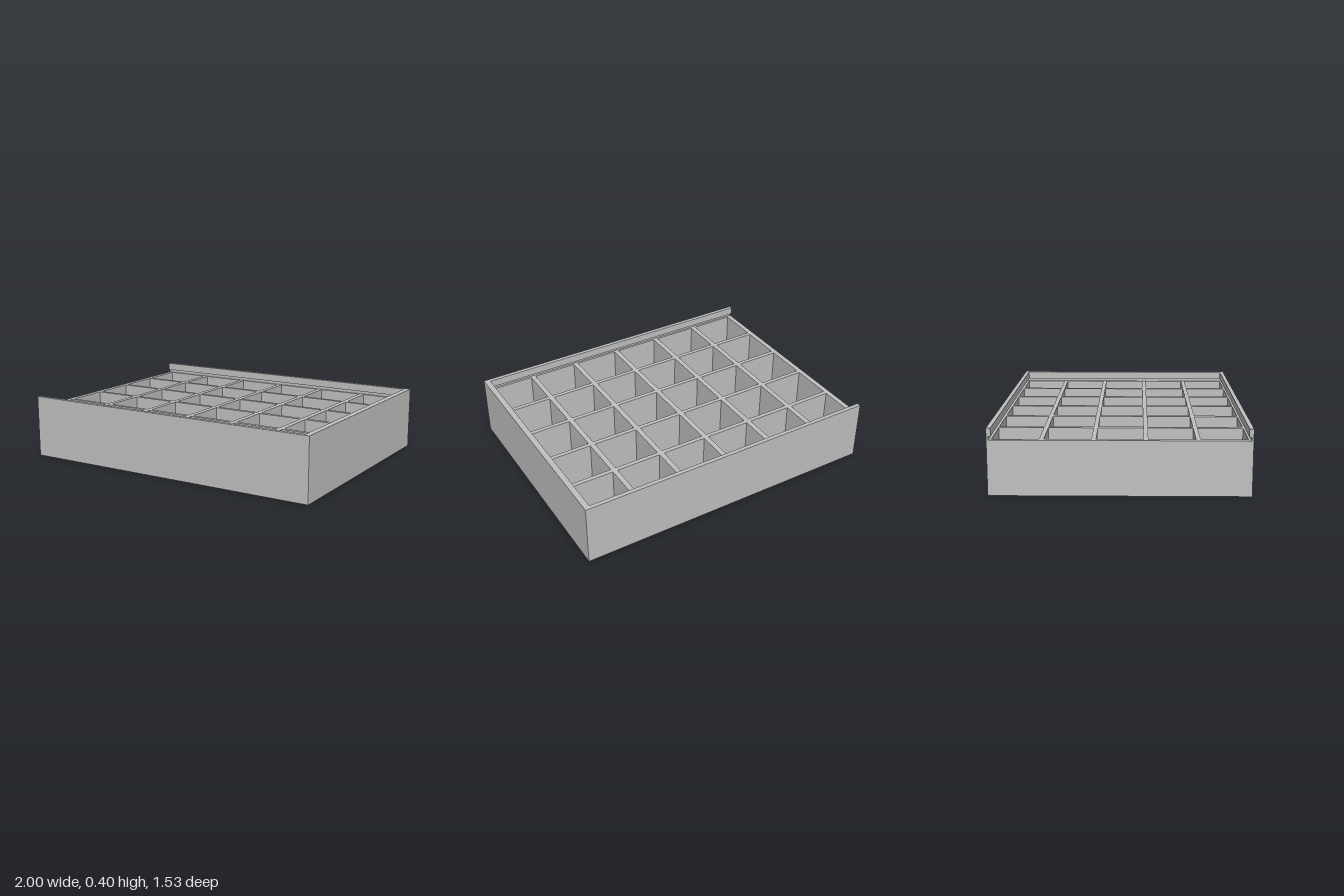
import * as THREE from 'three';

const HALF_X = 1, HALF_Z = 0.763, FLOOR = 0.03, RIM = 0.33, LIP = 0.35, TOP = 0.4;
const COLS = 6, ROWS = 5;
const CELL_X = 0.294, CELL_Z = 0.273, PITCH_X = 0.327, PITCH_Z = 0.3, FIRST_X = -0.82;

// Turns a plan outline into a vertical prism between two heights
function prism(shape, y0, y1) {
  const g = new THREE.ExtrudeGeometry(shape, { depth: y1 - y0, bevelEnabled: false });
  g.rotateX(-Math.PI / 2);
  return g.translate(0, y0, 0);
}

function polygon(points) {
  return new THREE.Shape(points.map(([x, z]) => new THREE.Vector2(x, z)));
}

function rectangle(cx, cz, hx, hz) {
  return [[cx - hx, cz - hz], [cx + hx, cz - hz], [cx + hx, cz + hz], [cx - hx, cz + hz]];
}

// U-shaped wall, open at the end where the lid slides in
function uShape(sideWall, endWall) {
  const x = HALF_X - endWall, z = HALF_Z - sideWall;
  return polygon([
    [-HALF_X, -HALF_Z], [HALF_X, -HALF_Z], [HALF_X, HALF_Z], [-HALF_X, HALF_Z],
    [-HALF_X, z], [x, z], [x, -z], [-HALF_X, -z],
  ]);
}

export function createModel() {
  const model = new THREE.Group();
  model.name = 'compartmentTray';
  const grey = new THREE.MeshStandardMaterial({ color: 0xc0c0c0 });
  grey.name = 'light grey';
  const add = (name, geometry) => {
    const mesh = new THREE.Mesh(geometry, grey);
    mesh.name = name;
    model.add(mesh);
    return mesh;
  };

  // Solid floor
  add('floor', prism(polygon(rectangle(0, 0, HALF_X, HALF_Z)), 0, FLOOR));

  // Outer walls and dividers in one grid with a hole for each compartment
  const grid = polygon(rectangle(0, 0, HALF_X, HALF_Z));
  const pyramid = new THREE.ConeGeometry(1, 0.115, 4, 1, true).toNonIndexed();
  pyramid.scale(CELL_X / 2, 1, CELL_Z / 2);
  pyramid.computeVertexNormals();
  for (let i = 0; i < COLS; i++) {
    for (let j = 0; j < ROWS; j++) {
      const x = FIRST_X + i * PITCH_X, z = (j - (ROWS - 1) / 2) * PITCH_Z;
      grid.holes.push(polygon(rectangle(x, z, CELL_X / 2, CELL_Z / 2)));
      // Four-sided raised point on the compartment floor
      add('compartmentPyramid', pyramid).position.set(x, FLOOR + 0.0575, z);
    }
  }
  add('wallsAndDividers', prism(grid, FLOOR, RIM));

  // Thin wall behind the lid groove, then the overhanging lip
  add('lidGroove', prism(uShape(0.012, 0.018), RIM, LIP));
  add('lidLip', prism(uShape(0.026, 0.037), LIP, TOP));

  return model;
}
